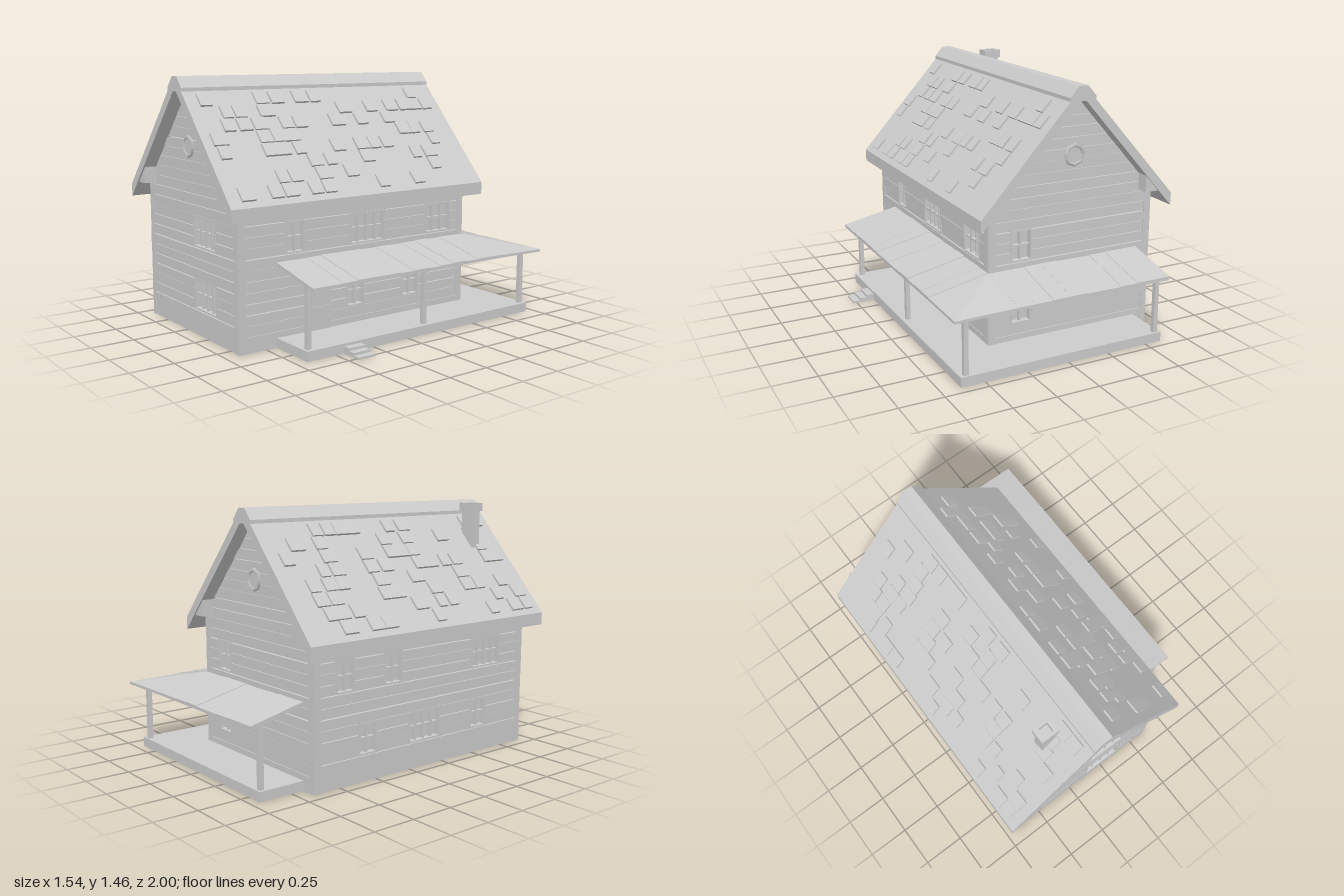
import * as THREE from 'three';
import { mergeGeometries } from 'three/addons/utils/BufferGeometryUtils.js';

const CX = -0.172, HALF = 0.515, ZF = 0.915, ZB = -0.67; // house body
const PITCH = 1.113, APEX = 1.395; // roof slope, underside peak

export function createModel() {
  const grey = new THREE.MeshStandardMaterial({ color: 0xcccccc });
  grey.name = 'plain grey';
  const model = new THREE.Group();
  model.name = 'house';

  let seed = 11;
  const rand = () => (seed = (seed * 16807) % 2147483647) / 2147483647;

  // Box given by its limits
  const box = (x0, x1, y0, y1, z0, z1) =>
    new THREE.BoxGeometry(x1 - x0, y1 - y0, z1 - z0)
      .translate((x0 + x1) / 2, (y0 + y1) / 2, (z0 + z1) / 2);

  // Profile in xy, extruded from z0 to z1
  const prism = (pts, z0, z1) => new THREE.ExtrudeGeometry(
    new THREE.Shape(pts.map(p => new THREE.Vector2(...p))),
    { depth: z1 - z0, bevelEnabled: false }).translate(0, 0, z0);

  // Slab under three or four top corners given counter-clockwise from above
  const slab = (top, t) => {
    const n = top.length, pos = [];
    const low = top.map(([x, y, z]) => [x, y - t, z]);
    const tri = (a, b, c) => pos.push(...a, ...b, ...c);
    for (let i = 1; i < n - 1; i++) {
      tri(top[0], top[i], top[i + 1]);
      tri(low[0], low[i + 1], low[i]);
    }
    for (let i = 0; i < n; i++) {
      const j = (i + 1) % n;
      tri(low[i], low[j], top[j]);
      tri(low[i], top[j], top[i]);
    }
    const g = new THREE.BufferGeometry();
    g.setAttribute('position', new THREE.Float32BufferAttribute(pos, 3));
    g.computeVertexNormals();
    return g;
  };

  const add = (name, parts, parent = model) => {
    const geos = parts.map(p => {
      const g = p.index ? p.toNonIndexed() : p;
      g.deleteAttribute('uv');
      return g;
    });
    const mesh = new THREE.Mesh(mergeGeometries(geos), grey);
    mesh.name = name;
    parent.add(mesh);
    return mesh;
  };

  // Solid core behind the boards
  const h = HALF - 0.03;
  add('core', [prism([[-h, 0], [h, 0], [h, 0.82], [0, 1.37], [-h, 0.82]], ZB + 0.03, ZF - 0.03)
    .translate(CX, 0, 0)]);

  // Boarded wall facing local +z; windows are [centre, width, bottom, top]
  const wall = (name, u0, u1, windows, x, z, turn) => {
    const g = new THREE.Group();
    g.name = name;
    g.position.set(x, 0, z);
    g.rotation.y = turn;
    model.add(g);
    const boards = [];
    for (let i = 0; i < 13; i++) {
      const y0 = i ? 0.03 + 0.06 * i : 0, y1 = 0.09 + 0.06 * i;
      const mid = y1 - 0.03, gap = 0.001 + 0.005 * rand(), jut = 0.008 * rand();
      let start = u0;
      const cuts = windows.filter(w => mid > w[2] && mid < w[3]).sort((a, b) => a[0] - b[0]);
      for (const [c, w] of [...cuts, [u1, 0]]) {
        boards.push(box(start, c - w / 2, y0, y1 - gap, -0.032, jut));
        start = c + w / 2;
      }
    }
    add('boards', boards, g);
    add('cornerBoards', [box(u0, u0 + 0.04, 0, 0.81, -0.03, 0.006),
      box(u1 - 0.04, u1, 0, 0.81, -0.03, 0.006)], g);
    for (const [c, w, y0, y1] of windows) {
      const a = c - w / 2, b = c + w / 2, f = 0.01, bars = [];
      bars.push(box(a, b, y0, y0 + f, -0.03, 0.006), box(a, b, y1 - f, y1, -0.03, 0.006));
      bars.push(box(a, a + f, y0, y1, -0.03, 0.006), box(b - f, b, y0, y1, -0.03, 0.006));
      const cols = Math.round(w / 0.0625), my = (y0 + y1) / 2;
      for (let k = 1; k < cols; k++) {
        const m = a + w * k / cols;
        bars.push(box(m - 0.005, m + 0.005, y0, y1, -0.03, -0.005));
      }
      bars.push(box(a, b, my - 0.005, my + 0.005, -0.03, -0.007));
      add('windowFrame', bars, g);
    }
    return g;
  };
  const UP = [0.51, 0.69], LOW = [0.15, 0.33];

  // Side walls
  const right = wall('rightPorchWall', -ZF, -ZB, [
    [-0.56, 0.125, ...UP], [-0.065, 0.25, ...UP], [0.47, 0.2, ...UP],
    [-0.15, 0.125, ...LOW], [0.255, 0.13, ...LOW]], CX + HALF, 0, Math.PI / 2);
  add('door', [box(-0.46, -0.33, 0.055, 0.35, -0.01, 0.012),
    box(-0.445, -0.345, 0.08, 0.19, 0, 0.017), box(-0.445, -0.345, 0.21, 0.33, 0, 0.017)], right);
  wall('leftWall', ZB, ZF, [
    [-0.465, 0.13, ...UP], [-0.13, 0.13, ...UP], [0.6, 0.24, ...UP],
    [-0.31, 0.125, ...LOW], [0.11, 0.24, ...LOW], [0.545, 0.13, ...LOW]], CX - HALF, 0, -Math.PI / 2);

  // End walls with boarded gables and octagonal windows
  const ends = [
    wall('frontWall', -HALF, HALF, [[0.157, 0.25, ...UP], [0.157, 0.25, ...LOW]], CX, ZF, 0),
    wall('backWall', -HALF, HALF, [[-0.32, 0.13, ...UP], [-0.32, 0.13, ...LOW]], CX, ZB, Math.PI)];
  for (const g of ends) {
    const boards = [];
    const w = y => Math.min(HALF, (APEX + 0.015 - y) / PITCH);
    for (let y = 0.81; y < 1.36; y += 0.06) {
      const t = Math.min(y + 0.055 + 0.004 * rand(), 1.385);
      boards.push(prism([[-w(y), y], [w(y), y], [w(t), t], [-w(t), t]], -0.034, 0.008 * rand()));
    }
    add('gableBoards', boards, g);
    const ring = new THREE.TorusGeometry(0.054, 0.012, 4, 8).translate(0, 1.07, 0.008);
    const pane = new THREE.CylinderGeometry(0.054, 0.054, 0.02, 8, 1, false, Math.PI / 8 * 2)
      .rotateX(Math.PI / 2).translate(0, 1.07, 0);
    add('gableWindow', [ring, pane], g);
    // Eave returns under the overhang
    add('eaveReturns', [-1, 1].map(s => {
      const p = [[0.43, 0.82], [0.518, 0.82], [0.518, 0.85], [0.43, 0.93]].map(([x, y]) => [s * x, y]);
      return prism(p, -0.01, 0.075);
    }), g);
  }

  // Main roof and ridge cap
  add('roof', [prism([[-0.6, 0.8], [-0.05, 1.41], [0.05, 1.41], [0.6, 0.8], [0.6, 0.727],
    [0, APEX], [-0.6, 0.727]], -0.753, 1).translate(CX, 0, 0)]);
  add('ridgeCap', [prism([[-0.08, 1.375], [0.08, 1.375], [0.08, 1.397], [0.028, 1.457],
    [-0.028, 1.457], [-0.08, 1.397]], -0.753, 1).translate(CX, 0, 0)]);

  // Scattered raised shingles
  for (const s of [-1, 1]) {
    const tiles = [];
    for (let r = 0; r < 8; r++) {
      for (let c = 0; c < 18; c++) {
        if (rand() > 0.42) continue;
        const d = 0.125 + r * 0.06, z = -0.64 + c * 0.09 + 0.03 * (rand() - 0.5);
        tiles.push(new THREE.BoxGeometry(0.085, 0.024, 0.06 + 0.035 * rand())
          .rotateZ(-s * (Math.atan(1.11) - 0.04))
          .translate(CX + s * d, 0.8 + (0.6 - d) * 1.11, z));
      }
    }
    add(s < 0 ? 'leftShingles' : 'rightShingles', tiles);
  }

  // Chimney with an open cap
  const cap = new THREE.Shape([[-0.056, -0.042], [0.056, -0.042], [0.056, 0.042], [-0.056, 0.042]]
    .map(p => new THREE.Vector2(...p)));
  cap.holes.push(new THREE.Path([[-0.028, -0.028], [-0.028, 0.028], [0.028, 0.028], [0.028, -0.028]]
    .map(p => new THREE.Vector2(...p))));
  add('chimney', [box(-0.428, -0.346, 1.1, 1.405, 0.737, 0.803),
    new THREE.ExtrudeGeometry(cap, { depth: 0.05, bevelEnabled: false })
      .rotateX(-Math.PI / 2).translate(-0.387, 1.4, 0.77)]);

  // Wraparound porch: deck, steps, posts and beams
  const WX = CX + HALF;
  add('porchDeck', [box(WX - 0.02, 0.64, 0, 0.055, ZB, 0.685),
    box(-0.6, 0.64, 0, 0.055, -0.95, ZB + 0.02)]);
  add('porchSteps', [0, 1, 2].map(i =>
    box(0.635, 0.685 + 0.043 * i, 0, 0.04 - 0.014 * i, 0.34, 0.45)));
  add('porchPosts', [[0.603, 0.655], [0.603, -0.14], [0.603, -0.925], [-0.57, -0.925]]
    .map(([x, z]) => box(x - 0.013, x + 0.013, 0.05, 0.4, z - 0.013, z + 0.013)));
  add('porchBeams', [box(0.592, 0.614, 0.385, 0.405, -0.936, 0.67),
    box(-0.59, 0.614, 0.385, 0.405, -0.936, -0.914)]);

  // Porch roof planks, with a hip at the corner
  const planks = [], XE = 0.695, ZE = -1, YT = 0.475, YE = 0.4;
  for (let i = 0; i < 14; i++) {
    const z0 = 0.685 + (ZB - 0.685) * i / 14, z1 = 0.685 + (ZB - 0.685) * (i + 1) / 14;
    const j = 0.007 * rand();
    planks.push(slab([[WX, YT + j, z0], [XE, YE + j, z0], [XE, YE + j, z1], [WX, YT + j, z1]], 0.015 + j));
  }
  for (let i = 0; i < 9; i++) {
    const x0 = -0.6 + (WX + 0.6) * i / 9, x1 = -0.6 + (WX + 0.6) * (i + 1) / 9;
    const j = 0.007 * rand();
    planks.push(slab([[x0, YT + j, ZB], [x1, YT + j, ZB], [x1, YE + j, ZE], [x0, YE + j, ZE]], 0.015 + j));
  }
  const hip = [WX, YT, ZB], corner = [XE, YE - 0.005, ZE];
  planks.push(slab([hip, [XE, YE, ZB], corner], 0.015), slab([hip, corner, [WX, YE, ZE]], 0.015));
  add('porchRoof', planks);

  return model;
}
